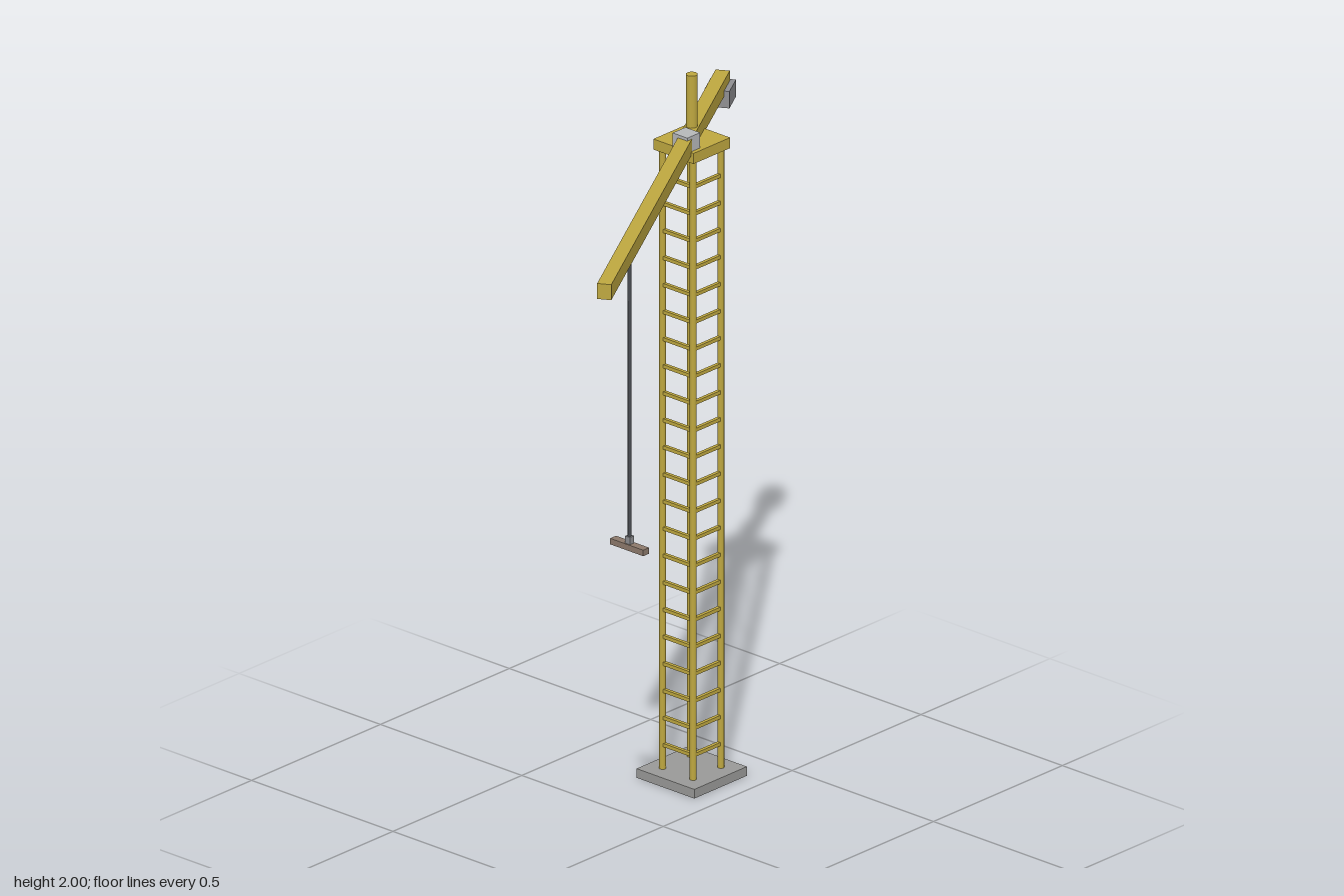
import * as THREE from 'three';

const mat = (name, color) => {
  const m = new THREE.MeshStandardMaterial({ color });
  m.name = name;
  return m;
};

export function createModel() {
  const yellow = mat('crane yellow', 0xbfa840);
  const concrete = mat('concrete grey', 0x9a9a98);
  const weightGrey = mat('counterweight grey', 0x8f8f92);
  const cabinGrey = mat('cabin light grey', 0xb6b8ba);
  const cableGrey = mat('cable dark grey', 0x484b50);
  const loadBrown = mat('load brown', 0x8d7a6c);

  const crane = new THREE.Group();
  crane.name = 'towerCrane';

  const add = (parent, name, geometry, material, x, y, z) => {
    const m = new THREE.Mesh(geometry, material);
    m.name = name;
    m.position.set(x, y, z);
    parent.add(m);
    return m;
  };
  const box = (w, h, d) => new THREE.BoxGeometry(w, h, d);
  const rod = (r, h, sides = 10) => new THREE.CylinderGeometry(r, r, h, sides);

  // Tower, placed off centre so the jib spans the middle
  const tower = new THREE.Group();
  tower.name = 'tower';
  tower.position.set(-0.166, 0, -0.293);
  crane.add(tower);

  add(tower, 'base', box(0.204, 0.026, 0.204), concrete, 0, 0.013, 0);
  const half = 0.054;
  for (const sx of [-1, 1]) {
    for (const sz of [-1, 1]) {
      add(tower, 'leg', rod(0.009, 1.766), yellow, sx * half, 0.909, sz * half);
    }
  }

  // Rungs on the front and left faces only
  const rungX = box(2 * half, 0.01, 0.01);
  const rungZ = box(0.01, 0.01, 2 * half);
  for (let i = 0; i < 22; i++) {
    const y = 0.095 + i * 0.077;
    add(tower, 'frontRung', rungX, yellow, 0, y, half);
    add(tower, 'sideRung', rungZ, yellow, half, y, 0);
  }

  add(tower, 'platform', box(0.142, 0.03, 0.142), yellow, 0, 1.802, 0);
  add(tower, 'mast', rod(0.0155, 0.185, 12), yellow, 0, 1.9075, 0);
  add(tower, 'cabin', box(0.052, 0.045, 0.05), cabinGrey, 0.033, 1.838, 0.057);

  // Slewing arm, turned 30 degrees from straight ahead
  const arm = new THREE.Group();
  arm.name = 'slewingArm';
  arm.rotation.y = Math.PI / 6;
  tower.add(arm);
  add(arm, 'jib', box(0.038, 0.044, 1.447), yellow, 0, 1.83, 0.3455);
  add(arm, 'counterweight', box(0.067, 0.048, 0.081), weightGrey, 0, 1.8, -0.347);

  // Hoist with its hanging beam
  const hoist = new THREE.Group();
  hoist.name = 'hoist';
  hoist.position.set(0.207, 0, 0.357);
  crane.add(hoist);
  add(hoist, 'cable', rod(0.005, 0.83, 8), cableGrey, 0, 1.395, 0);
  add(hoist, 'hookBlock', box(0.017, 0.022, 0.017), weightGrey, 0, 0.99, 0);
  add(hoist, 'loadBeam', box(0.117, 0.017, 0.023), loadBrown, 0, 0.972, 0);

  return crane;
}
